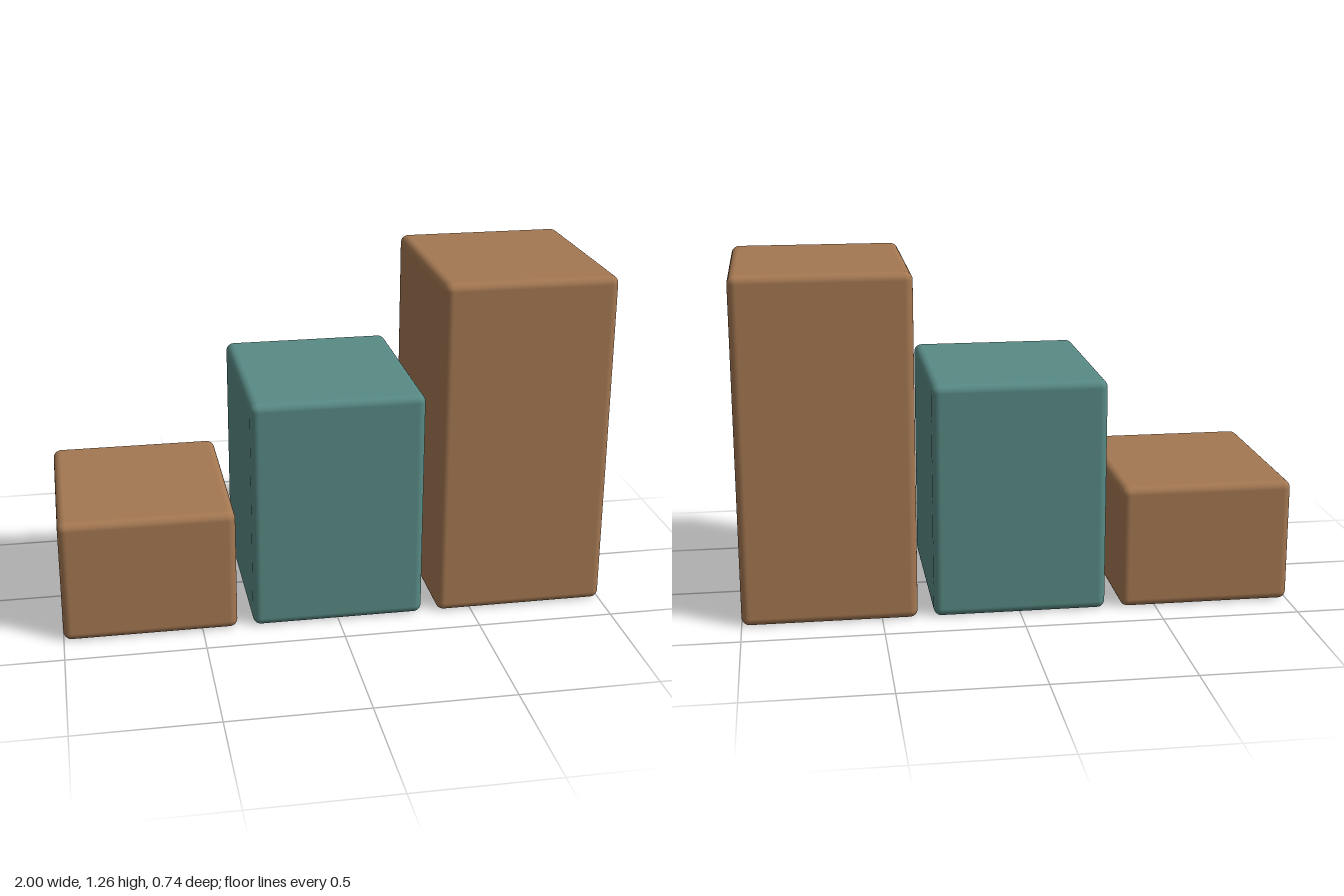
import * as THREE from 'three';
import { RoundedBoxGeometry } from 'three/addons/geometries/RoundedBoxGeometry.js';

const WIDTH = 0.628, DEPTH = 0.743, SPACING = 0.686, RADIUS = 0.029;

function material(name, color) {
  const m = new THREE.MeshStandardMaterial({ color });
  m.name = name;
  return m;
}

export function createModel() {
  const group = new THREE.Group();
  group.name = 'steppedBlocks';
  const brown = material('brown', 0xa47852);
  const teal = material('teal', 0x588a85);

  // Three softly rounded blocks rising from the model's right to its left
  const blocks = [
    ['lowBlock', 0.457, brown],
    ['middleBlock', 0.857, teal],
    ['tallBlock', 1.257, brown],
  ];
  blocks.forEach(([name, height, mat], i) => {
    const mesh = new THREE.Mesh(new RoundedBoxGeometry(WIDTH, height, DEPTH, 4, RADIUS), mat);
    mesh.name = name;
    mesh.position.set((i - 1) * SPACING, height / 2, 0);
    group.add(mesh);
  });
  return group;
}
